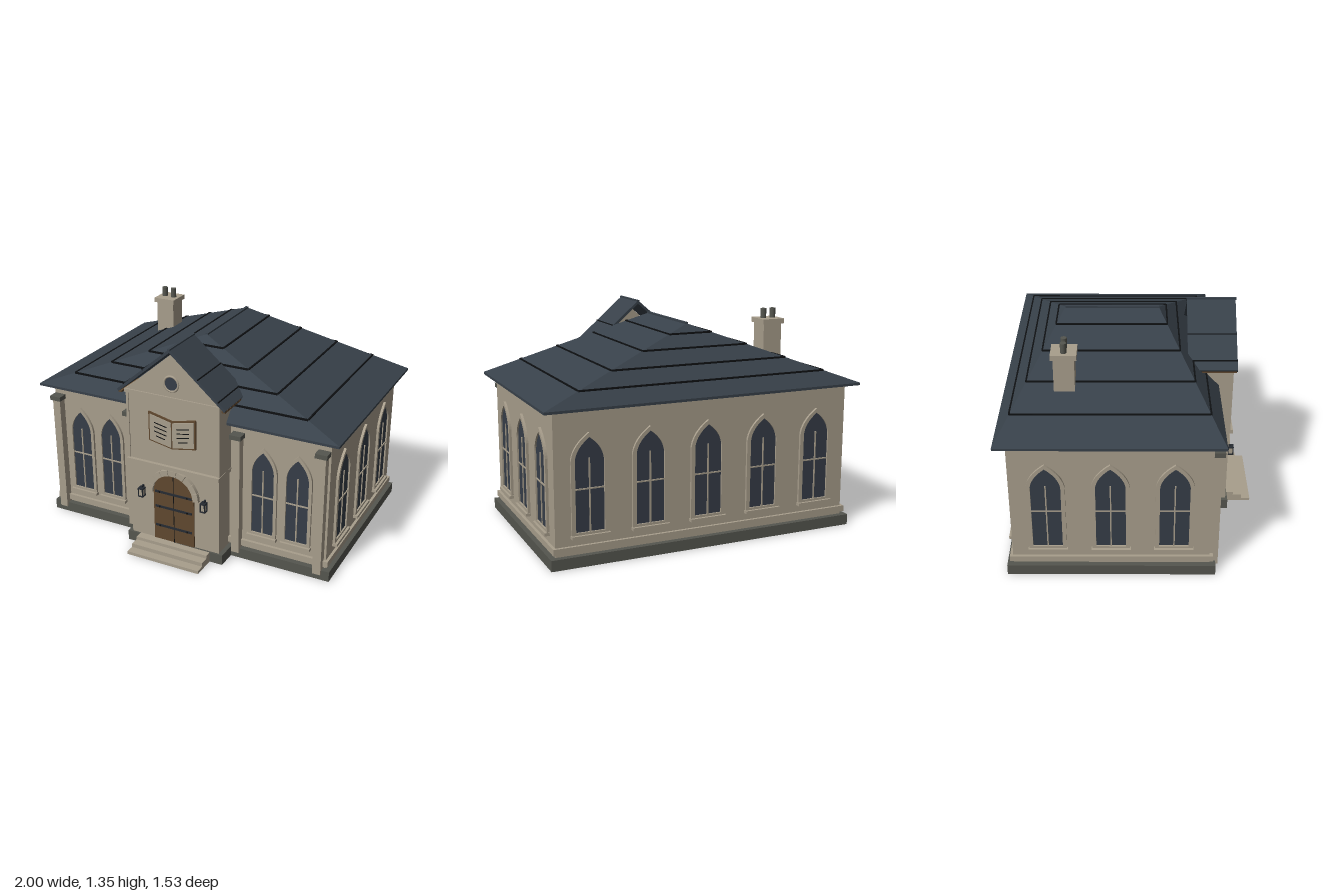
import * as THREE from 'three';
import { ConvexGeometry } from 'three/addons/geometries/ConvexGeometry.js';

export function createModel() {
  const model = new THREE.Group();
  const mat = (name, color) => {
    const m = new THREE.MeshStandardMaterial({ color });
    m.name = name;
    return m;
  };
  const stone = mat('limestone', 0xa89e8c);
  const plinthStone = mat('dark plinth stone', 0x55564f);
  const slate = mat('roof slate', 0x38414a);
  const seam = mat('black seam', 0x0e1012);
  const glass = mat('window glass', 0x363d48);
  const wood = mat('brown wood', 0x60482f);
  const iron = mat('dark iron', 0x262b32);

  const add = (name, geometry, material, parent = model) => {
    const mesh = new THREE.Mesh(geometry, material);
    mesh.name = name;
    parent.add(mesh);
    return mesh;
  };
  // Box given by its limits on each axis
  const box = (name, material, x0, x1, y0, y1, z0, z1, parent) => {
    const mesh = add(name, new THREE.BoxGeometry(x1 - x0, y1 - y0, z1 - z0), material, parent);
    mesh.position.set((x0 + x1) / 2, (y0 + y1) / 2, (z0 + z1) / 2);
    return mesh;
  };
  const extrude = (name, shape, depth, z, material, parent) => {
    const geometry = new THREE.ExtrudeGeometry(shape, { depth, bevelEnabled: false, curveSegments: 10 });
    const mesh = add(name, geometry, material, parent);
    mesh.position.z = z;
    return mesh;
  };
  const polygon = (points) => new THREE.Shape(points.map(([x, y]) => new THREE.Vector2(x, y)));

  // Main block
  box('mainPlinth', plinthStone, -0.97, 0.97, 0, 0.065, -0.735, 0.49);
  box('mainWalls', stone, -0.935, 0.935, 0.065, 0.895, -0.7, 0.455);
  box('waterTable', stone, -0.952, 0.952, 0.083, 0.12, -0.718, 0.474);
  box('cornice', stone, -0.945, 0.945, 0.88, 0.896, -0.71, 0.467);

  // Hipped roof with its ridge running front to back
  const roofPoints = [];
  for (const x of [-1, 1]) for (const z of [-0.765, 0.52]) for (const y of [0.895, 0.91]) {
    roofPoints.push(new THREE.Vector3(x, y, z));
  }
  roofPoints.push(new THREE.Vector3(0, 1.283, 0.16), new THREE.Vector3(0, 1.283, -0.41));
  add('hippedRoof', new ConvexGeometry(roofPoints), slate);
  box('roofRidge', slate, -0.009, 0.009, 1.273, 1.29, -0.41, 0.16);

  // Dark course lines around the roof
  for (const t of [0.22, 0.442, 0.664, 0.863]) {
    const x = 1 - t, y = 0.91 + 0.373 * t;
    const front = 0.52 - 0.36 * t, back = -0.765 + 0.355 * t, h = 0.005;
    box('roofCourseFront', seam, -x, x, y - h, y + h, front - h, front + h);
    box('roofCourseBack', seam, -x, x, y - h, y + h, back - h, back + h);
    for (const s of [-1, 1]) {
      box('roofCourseSide', seam, s * x - h, s * x + h, y - h, y + h, back, front);
    }
  }

  // Pilasters on the front wall
  for (const x of [-0.895, -0.363, 0.363, 0.895]) {
    box('pilaster', stone, x - 0.026, x + 0.026, 0.04, 0.81, 0.45, 0.505);
    box('pilasterCap', plinthStone, x - 0.037, x + 0.037, 0.807, 0.835, 0.45, 0.518);
  }

  // Pointed arch windows
  const pointedArch = (w, bottom, spring, apex) => {
    const s = new THREE.Shape();
    const shoulder = spring + (apex - spring) * 0.55;
    s.moveTo(-w, bottom);
    s.lineTo(w, bottom);
    s.lineTo(w, spring);
    s.quadraticCurveTo(w * 0.92, shoulder, 0, apex);
    s.quadraticCurveTo(-w * 0.92, shoulder, -w, spring);
    s.closePath();
    return s;
  };
  const addWindow = (w, frame, x, z, angle) => {
    const g = new THREE.Group();
    g.name = 'archedWindow';
    const opening = pointedArch(w, 0.195, 0.61, 0.738);
    const surround = pointedArch(w + frame, 0.175, 0.61, 0.765);
    surround.holes.push(new THREE.Path(opening.getPoints(10)));
    extrude('windowSurround', surround, 0.015, 0, stone, g);
    extrude('windowGlass', opening, 0.005, 0, glass, g);
    box('mullion', stone, -0.004, 0.004, 0.195, 0.62, 0, 0.011, g);
    box('transom', stone, -w, w, 0.441, 0.449, 0, 0.011, g);
    box('windowSill', stone, -w - frame - 0.005, w + frame + 0.005, 0.163, 0.181, 0, 0.03, g);
    g.position.set(x, 0, z);
    g.rotation.y = angle;
    model.add(g);
  };
  for (const x of [-0.743, -0.524, 0.524, 0.743]) addWindow(0.07, 0.02, x, 0.455, 0);
  for (const z of [0.243, -0.123, -0.49]) {
    for (const s of [-1, 1]) addWindow(0.086, 0.024, s * 0.935, z, s * Math.PI / 2);
  }
  for (let i = -2; i <= 2; i++) addWindow(0.086, 0.024, i * 0.365, -0.7, Math.PI);

  // Entrance block, its bands and corner strips
  box('entrancePlinth', plinthStone, -0.33, 0.33, 0, 0.065, 0.4, 0.612);
  box('entranceWalls', stone, -0.302, 0.302, 0.065, 1.035, 0.38, 0.6);
  box('entranceBand', stone, -0.312, 0.312, 0.565, 0.59, 0.45, 0.622);
  box('entranceCornice', stone, -0.315, 0.315, 1.02, 1.042, 0.39, 0.614);
  for (const s of [-1, 1]) {
    box('cornerStrip', stone, s * 0.302 - 0.008, s * 0.302 + 0.008, 0.59, 1.02, 0.45, 0.606);
  }

  // Entrance steps
  [[0.02, 0.765], [0.045, 0.71], [0.065, 0.655]].forEach(([top, z]) =>
    box('entranceStep', stone, -0.245, 0.245, 0, top, 0.59, z));

  // Gable wall and its small roof
  extrude('gableWall', polygon([[-0.31, 1.04], [0.31, 1.04], [0, 1.305]]), 0.045, 0.56, stone);
  extrude('gableRoof', polygon([[0, 1.343], [-0.357, 1.036], [-0.347, 1.022], [0, 1.321],
    [0.347, 1.022], [0.357, 1.036]]), 0.295, 0.33, slate);
  box('gableRidge', slate, -0.008, 0.008, 1.332, 1.345, 0.328, 0.63);
  for (const s of [-1, 1]) {
    box('eaveBoard', wood, s * 0.34 - 0.012, s * 0.34 + 0.012, 1.016, 1.027, 0.335, 0.62);
    for (const x of [0.18, 0.31]) {
      const y = 1.343 - 0.86 * x;
      box('gableRoofSeam', seam, s * x - 0.003, s * x + 0.003, y - 0.003, y + 0.003, 0.33, 0.626);
    }
  }

  // Round gable window
  const rosette = add('roundWindowRing', new THREE.TorusGeometry(0.046, 0.007, 8, 28), stone);
  rosette.position.set(0, 1.125, 0.606);
  const pane = add('roundWindowGlass', new THREE.CircleGeometry(0.043, 28), glass);
  pane.position.set(0, 1.125, 0.608);

  // Arched double door
  const door = new THREE.Group();
  door.name = 'door';
  door.position.z = 0.6;
  model.add(door);
  const leaf = new THREE.Shape();
  leaf.moveTo(-0.138, 0.066);
  leaf.lineTo(0.138, 0.066);
  leaf.lineTo(0.138, 0.393);
  leaf.absarc(0, 0.393, 0.138, 0, Math.PI, false);
  leaf.closePath();
  extrude('doorLeaves', leaf, 0.008, 0, wood, door);
  box('doorSplit', seam, -0.002, 0.002, 0.066, 0.53, 0, 0.0095, door);
  for (const y of [0.165, 0.298, 0.4]) {
    box('doorStrap', iron, -0.125, 0.125, y - 0.007, y + 0.007, 0, 0.013, door);
    for (const x of [-0.095, 0.095]) box('strapStud', seam, x - 0.005, x + 0.005, y - 0.005, y + 0.005, 0, 0.016, door);
  }

  // Arch stones, separated by narrow joints
  const count = 9, step = Math.PI / count;
  for (let i = 0; i < count; i++) {
    const a = i * step + 0.008, b = (i + 1) * step - 0.008;
    const s = new THREE.Shape();
    s.absarc(0, 0.393, 0.175, a, b, false);
    s.absarc(0, 0.393, 0.138, b, a, true);
    s.closePath();
    extrude('archStone', s, 0.024, 0, stone, door);
  }

  // Open book relief
  const book = new THREE.Group();
  book.name = 'openBook';
  book.position.z = 0.6;
  model.add(book);
  extrude('bookCover', polygon([[-0.157, 0.925], [-0.157, 0.738], [0, 0.708], [0.157, 0.738],
    [0.157, 0.925], [0, 0.89]]), 0.01, 0, wood, book);
  for (const s of [-1, 1]) {
    const corners = [[0.004, 0.719], [0.147, 0.746], [0.147, 0.912], [0.004, 0.88]];
    extrude('bookPage', polygon(corners.map(([x, y]) => [s * x, y])), 0.005, 0.01, stone, book);
    for (let i = 0; i < 4; i++) {
      const rule = box('pageRule', seam, -0.042, i === 3 ? 0.02 : 0.042, -0.0025, 0.0025, 0, 0.003, book);
      rule.position.set(s * 0.075, 0.855 - i * 0.028, 0.016);
      rule.rotation.z = s * 0.2;
    }
  }

  // Wall lanterns
  for (const s of [-1, 1]) {
    const lantern = new THREE.Group();
    lantern.name = 'lantern';
    lantern.position.set(s * 0.213, 0, 0.6);
    model.add(lantern);
    box('lanternPane', stone, -0.012, 0.012, 0.355, 0.4, 0.012, 0.038, lantern);
    box('lanternBase', iron, -0.018, 0.018, 0.349, 0.356, 0.006, 0.044, lantern);
    box('lanternTop', iron, -0.018, 0.018, 0.4, 0.408, 0.006, 0.044, lantern);
    box('lanternBracket', iron, -0.005, 0.005, 0.405, 0.418, 0, 0.028, lantern);
    for (const x of [-0.014, 0.014]) for (const z of [0.01, 0.04]) {
      box('lanternPost', iron, x - 0.003, x + 0.003, 0.354, 0.402, z - 0.003, z + 0.003, lantern);
    }
  }

  // Chimney with two pots
  box('chimneyStack', stone, -0.626, -0.504, 0.98, 1.256, -0.445, -0.325);
  box('chimneyCap', stone, -0.638, -0.492, 1.255, 1.285, -0.459, -0.311);
  for (const x of [-0.597, -0.533]) {
    const pot = add('chimneyPot', new THREE.CylinderGeometry(0.018, 0.018, 0.062, 16), plinthStone);
    pot.position.set(x, 1.314, -0.385);
  }
  return model;
}
